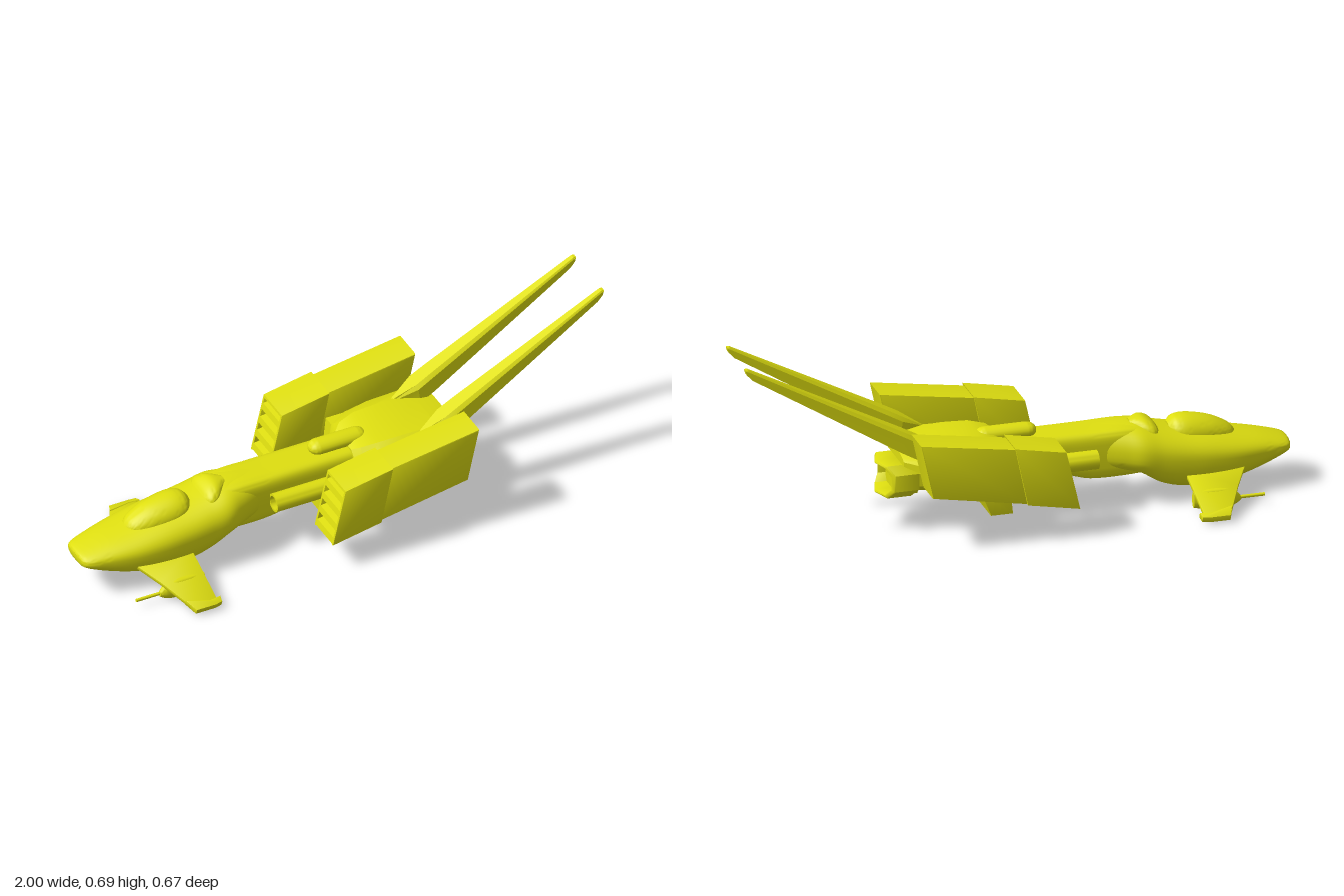
import * as THREE from 'three';
import { toCreasedNormals } from 'three/addons/utils/BufferGeometryUtils.js';

const yellow = new THREE.MeshStandardMaterial({ color: 0xdfdf10 });
yellow.name = 'yellow paint';

function add(parent, name, geometry, crease = 0.6) {
  const mesh = new THREE.Mesh(toCreasedNormals(geometry, crease), yellow);
  mesh.name = name;
  parent.add(mesh);
  return mesh;
}

// Skin a row of rings ([x, y, z] corners, running +z to +y) along +x, with end caps
function loft(rings) {
  const n = rings[0].length, pos = rings.flat(2), index = [];
  for (let i = 0; i < rings.length - 1; i++) {
    for (let j = 0; j < n; j++) {
      const a = i * n + j, b = i * n + (j + 1) % n;
      index.push(a, a + n, b + n, a, b + n, b);
    }
  }
  const last = (rings.length - 1) * n;
  for (let j = 1; j < n - 1; j++) {
    index.push(0, j, j + 1, last, last + j + 1, last + j);
  }
  const g = new THREE.BufferGeometry();
  g.setAttribute('position', new THREE.Float32BufferAttribute(pos, 3));
  g.setIndex(index);
  return g;
}

// Rounded body from sections [x, half width, bottom, widest height, top]
function body(sections, topPower, lowPower, steps = 32, sides = 40) {
  const curves = [1, 2, 3, 4].map(k =>
    new THREE.SplineCurve(sections.map(s => new THREE.Vector2(s[0], s[k]))));
  const rings = [];
  for (let i = 0; i <= steps; i++) {
    const p = curves.map(c => c.getPoint(i / steps));
    const [w, bottom, mid, top] = p.map(v => v.y);
    const ring = [];
    for (let j = 0; j < sides; j++) {
      const a = j / sides * Math.PI * 2, c = Math.cos(a), s = Math.sin(a);
      const e = 2 / (s >= 0 ? topPower : lowPower);
      const z = Math.sign(c) * Math.abs(c) ** e * w;
      const h = Math.abs(s) ** e;
      ring.push([p[0].x, s >= 0 ? mid + h * (top - mid) : mid - h * (mid - bottom), z]);
    }
    rings.push(ring);
  }
  return loft(rings);
}

// Side profile in x, y given a depth from z0 to z1 with a fine bevel
function prism(points, z0, z1, bevel = 0.004, hole) {
  const shape = new THREE.Shape(points.map(p => new THREE.Vector2(...p)));
  if (hole) shape.holes.push(new THREE.Path(hole.map(p => new THREE.Vector2(...p))));
  return new THREE.ExtrudeGeometry(shape, {
    depth: z1 - z0 - 2 * bevel, bevelEnabled: bevel > 0, bevelSize: bevel,
    bevelThickness: bevel, bevelOffset: -bevel, bevelSegments: 2,
  }).translate(0, 0, z0 + bevel);
}

export function createModel() {
  const model = new THREE.Group();
  model.name = 'spacecraft';

  // Nose hull, canopy and the cowl behind it
  add(model, 'noseHull', body([
    [-1, 0.03, 0.13, 0.142, 0.155], [-0.985, 0.072, 0.115, 0.142, 0.165],
    [-0.9, 0.1, 0.078, 0.143, 0.188], [-0.8, 0.122, 0.048, 0.145, 0.208],
    [-0.7, 0.132, 0.033, 0.15, 0.228], [-0.6, 0.133, 0.036, 0.158, 0.245],
    [-0.52, 0.132, 0.06, 0.168, 0.262], [-0.45, 0.13, 0.105, 0.18, 0.28],
    [-0.39, 0.108, 0.12, 0.185, 0.283], [-0.32, 0.08, 0.13, 0.19, 0.281],
  ], 2.3, 2.7, 48));
  add(model, 'canopy', body([
    [-0.81, 0.012, 0.17, 0.19, 0.203], [-0.785, 0.045, 0.17, 0.2, 0.232],
    [-0.72, 0.066, 0.17, 0.21, 0.265], [-0.64, 0.073, 0.18, 0.22, 0.283],
    [-0.59, 0.062, 0.2, 0.23, 0.28], [-0.565, 0.03, 0.22, 0.24, 0.26],
  ], 2, 2));
  add(model, 'cowl', body([
    [-0.525, 0.05, 0.22, 0.24, 0.255], [-0.505, 0.078, 0.22, 0.245, 0.28],
    [-0.47, 0.07, 0.22, 0.25, 0.295], [-0.425, 0.025, 0.23, 0.26, 0.288],
  ], 2.4, 2, 16));

  // Neck joining the nose to the rear hull
  add(model, 'neck', body([
    [-0.5, 0.075, 0.105, 0.19, 0.27], [-0.4, 0.082, 0.1, 0.19, 0.281],
    [-0.27, 0.08, 0.102, 0.19, 0.28], [-0.15, 0.078, 0.13, 0.19, 0.28],
    [0.1, 0.078, 0.13, 0.19, 0.28],
  ], 5, 5, 20));
  add(model, 'neckKeel', prism(
    [[-0.09, 0.08], [0.08, 0.075], [0.08, 0.2], [-0.085, 0.2]], -0.09, 0.09));

  // Rear hull: lower block and roof
  add(model, 'rearBlock', prism(
    [[0.05, 0.065], [0.13, 0.065], [0.165, 0.15], [0.22, 0.25], [0.07, 0.25]], -0.19, 0.19));
  const half = [[0.19, 0], [0.19, 0.45], [0.165, 0.7], [0.1, 1]];
  const outline = [...half, ...half.map(([z, h]) => [-z, h]).reverse()];
  add(model, 'roof', loft([
    [0.045, 0.6, 0.16, 0.285], [0.07, 0.82, 0.16, 0.3], [0.13, 0.97, 0.18, 0.312],
    [0.22, 1, 0.215, 0.315], [0.36, 0.98, 0.24, 0.312], [0.43, 0.7, 0.265, 0.302],
  ].map(([x, w, low, top]) => outline.map(([z, h]) => [x, low + h * (top - low), z * w]))), 0.4);
  const hatch = new THREE.CapsuleGeometry(0.036, 0.148, 8, 20).rotateZ(Math.PI / 2);
  add(model, 'roofHatch', hatch.scale(1, 0.75, 1).translate(0.02, 0.293, 0));

  // Engine with a flared, hollow eight-sided nozzle
  const octagon = (w, h) => [
    [w, -h * 0.5], [w, h * 0.5], [w * 0.72, h], [0, h],
    [-w * 0.72, h], [-w, h * 0.5], [-w, -h * 0.5], [-w * 0.72, -h], [0, -h], [w * 0.72, -h]];
  const ring = (x, w, h) => octagon(w, h).map(([z, y]) => [x, 0.185 + y, z]);
  add(model, 'engine', loft([
    ring(0.12, 0.09, 0.05), ring(0.3, 0.088, 0.05), ring(0.38, 0.078, 0.045), ring(0.425, 0.07, 0.045),
  ]));
  const nozzle = prism(octagon(0.095, 0.06), 0, 0.09, 0.003, octagon(0.082, 0.049))
    .rotateY(Math.PI / 2).translate(0.405, 0.185, 0);
  const p = nozzle.attributes.position;
  for (let i = 0; i < p.count; i++) {
    p.setX(i, p.getX(i) - 5 * p.getZ(i) ** 2);
  }
  add(model, 'nozzleRim', nozzle);
  add(model, 'nozzleCore', loft([
    ring(0.36, 0.088, 0.054), ring(0.41, 0.084, 0.051), ring(0.44, 0.05, 0.04),
  ]));
  add(model, 'enginePivot',
    new THREE.CylinderGeometry(0.024, 0.024, 0.19, 20).rotateX(Math.PI / 2).translate(0.24, 0.172, 0));

  // Louvred front edge of a side pod
  const teeth = [];
  for (let i = 0; i < 4; i++) {
    const edge = (t, inset) => [-0.154 + 0.049 * t + inset, 0.11 + 0.215 * t];
    teeth.push(edge(i / 4, 0), edge((i + 0.45) / 4, 0), edge((i + 0.6) / 4, 0.045), edge((i + 1) / 4, 0.045));
  }

  for (const side of [1, -1]) {
    const s = new THREE.Group();
    s.name = side > 0 ? 'leftSide' : 'rightSide';
    model.add(s);
    const slab = (name, points, z0, z1, bevel) =>
      add(s, name, prism(points, Math.min(side * z0, side * z1), Math.max(side * z0, side * z1), bevel));

    // Side pod in two segments
    slab('podLouvres', [[0.033, 0.145], [0.078, 0.357], ...teeth.slice().reverse()], 0.18, 0.31, 0);
    const cheek = [[-0.155, 0.107], [0.035, 0.143], [0.08, 0.36], [-0.105, 0.325]];
    slab('podInnerCheek', cheek, 0.174, 0.184, 0.002);
    slab('podOuterCheek', cheek, 0.305, 0.315, 0.002);
    slab('podFrontTop', [[-0.107, 0.316], [0.077, 0.35], [0.08, 0.36], [-0.105, 0.325]], 0.176, 0.313, 0.001);
    slab('podRear', [[0.03, 0.143], [0.376, 0.205], [0.42, 0.408], [0.075, 0.354]], 0.184, 0.305);

    // Hollow tube beside the neck
    const tube = new THREE.LatheGeometry(
      [[0, 0], [0.034, 0], [0.034, 0.37], [0.026, 0.37], [0.026, 0.28], [0, 0.28]]
        .map(q => new THREE.Vector2(...q)), 24);
    add(s, 'neckTube', tube.rotateZ(Math.PI / 2).translate(0.09, 0.195, side * 0.106));

    // Long swept tail fin
    add(s, 'tailFin', loft([
      [0.28, 0.305, 0.3, 0.28, 0.004], [0.37, 0.362, 0.38, 0.288, 0.04],
      [0.43, 0.395, 0.44, 0.322, 0.038], [0.99, 0.69, 0.975, 0.65, 0.012], [1, 0.69, 0.995, 0.672, 0.011],
    ].map(([tx, ty, bx, by, w]) => [
      [bx, by, w], [tx * 0.8 + bx * 0.2, ty * 0.8 + by * 0.2, w], [tx, ty, w * 0.7],
      [tx, ty, -w * 0.7], [tx * 0.8 + bx * 0.2, ty * 0.8 + by * 0.2, -w], [bx, by, -w],
    ].map(([x, y, z]) => [x, y, z + side * 0.107]))), 0.35);

    // Drooping front winglet with a raised tip and rear flap
    const tilt = side * (Math.PI / 2 + 0.36);
    const plate = (name, points, thick) => add(s, name,
      prism(points, -thick / 2, thick / 2, 0.003).rotateX(tilt).translate(0, 0.104, side * 0.1));
    plate('winglet', [[-0.82, 0], [-0.6, 0], [-0.605, 0.23], [-0.695, 0.245], [-0.765, 0.1]], 0.016);
    plate('wingletTip', [[-0.715, 0.2], [-0.68, 0.21], [-0.63, 0.225], [-0.59, 0.22], [-0.594, 0.245],
      [-0.62, 0.25], [-0.695, 0.25]], 0.024);

    // Gun under the winglet
    add(s, 'gunMount', body([
      [-0.77, 0.008, 0.02, 0.03, 0.04], [-0.735, 0.02, 0.004, 0.035, 0.07],
      [-0.66, 0.022, 0, 0.035, 0.075], [-0.6, 0.014, 0.012, 0.035, 0.07],
    ], 3, 2.2, 14, 20).translate(0, 0, side * 0.2));
    add(s, 'gunBarrel', new THREE.CylinderGeometry(0.006, 0.006, 0.12, 12)
      .rotateZ(Math.PI / 2).translate(-0.8, 0.03, side * 0.196));
  }
  return model;
}
